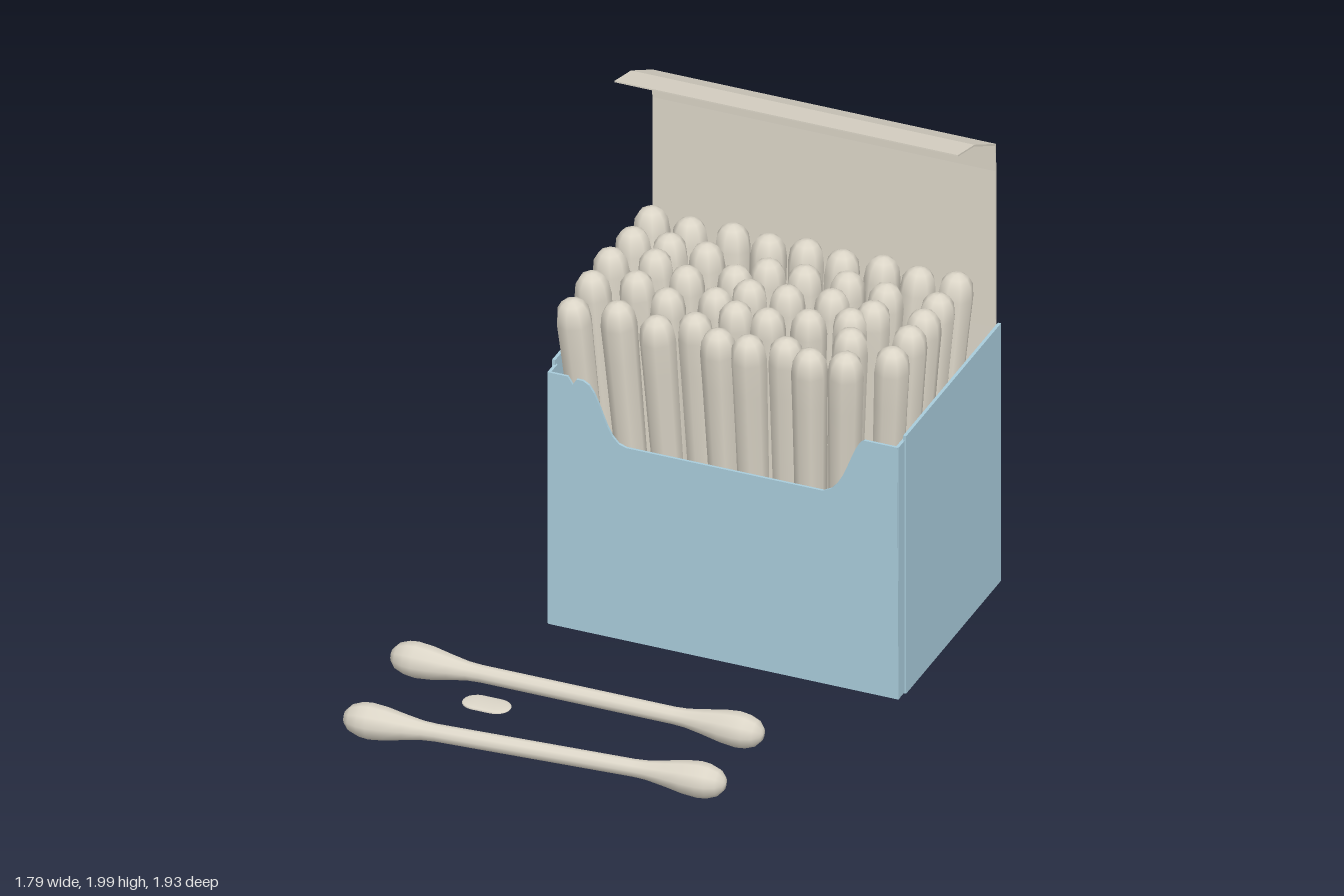
import * as THREE from 'three';

const cream = new THREE.MeshStandardMaterial({ color: 0xdcd6c8 });
cream.name = 'cream';
const blue = new THREE.MeshStandardMaterial({ color: 0xa8cbda });
blue.name = 'paleBlue';

function add(parent, name, geometry, material) {
  const mesh = new THREE.Mesh(geometry, material);
  mesh.name = name;
  parent.add(mesh);
  return mesh;
}

// box given by its two opposite corners
function slab(x0, x1, y0, y1, z0, z1) {
  return new THREE.BoxGeometry(x1 - x0, y1 - y0, z1 - z0)
    .translate((x0 + x1) / 2, (y0 + y1) / 2, (z0 + z1) / 2);
}

// places a lathe running along +y so that it runs from a to b
function span(mesh, a, b) {
  mesh.position.copy(a);
  mesh.quaternion.setFromUnitVectors(new THREE.Vector3(0, 1, 0), b.clone().sub(a).normalize());
}

function lathe(pairs, sides) {
  return new THREE.LatheGeometry(pairs.map(([r, y]) => new THREE.Vector2(r, y)), sides);
}

// turns a shape drawn in (z, y) into a strip running along x
function alongX(shape, x0, x1) {
  return new THREE.ExtrudeGeometry(shape, { depth: x1 - x0, bevelEnabled: false })
    .rotateY(-Math.PI / 2).translate(x1, 0, 0);
}

function polygon(pairs) {
  return new THREE.Shape(pairs.map(([x, y]) => new THREE.Vector2(x, y)));
}

function buildCarton() {
  const carton = new THREE.Group();
  carton.name = 'carton';

  // front panel with a scooped top edge
  const front = new THREE.Shape();
  front.moveTo(-0.485, 0.05);
  front.lineTo(0.885, 0.05);
  front.lineTo(0.88, 1.095);
  front.lineTo(0.75, 1.095);
  front.bezierCurveTo(0.7, 1.08, 0.68, 0.87, 0.59, 0.85);
  front.lineTo(-0.18, 0.85);
  front.bezierCurveTo(-0.27, 0.85, -0.28, 1.08, -0.35, 1.09);
  front.lineTo(-0.375, 1.09);
  front.lineTo(-0.39, 1.065);
  front.lineTo(-0.41, 1.095);
  front.lineTo(-0.485, 1.095);
  add(carton, 'frontPanel',
    new THREE.ExtrudeGeometry(front, { depth: 0.01, bevelEnabled: false, curveSegments: 8 })
      .translate(0, 0, -0.042), blue);

  // side walls, each with a folded front corner
  const side = polygon([[-0.09, 0.045], [-0.09, 1.115], [-0.95, 1.125], [-0.95, 0.055]]);
  for (const [name, x, s] of [['rightWall', -0.495, 1], ['leftWall', 0.89, -1]]) {
    const outer = alongX(side, Math.min(x, x + s * 0.012), Math.max(x, x + s * 0.012));
    add(carton, name, outer, blue);
    const a = x + s * 0.006, b = x + s * 0.018;
    add(carton, name + 'Fold',
      slab(Math.min(a, b), Math.max(a, b), 0.05, 1.095, -0.1, -0.035), blue);
  }

  // bottom
  add(carton, 'bottom', slab(-0.485, 0.88, 0.05, 0.062, -0.95, -0.042), cream);

  // back panel folding over into the open lid
  const lid = polygon([
    [-0.95, 0.055], [-0.958, 0.4], [-0.962, 1.1], [-0.96, 1.75], [-0.955, 1.863],
    [-0.76, 1.963], [-0.61, 2.0], [-0.61, 1.994], [-0.76, 1.956], [-0.948, 1.858],
    [-0.953, 1.75], [-0.954, 1.1], [-0.95, 0.4], [-0.943, 0.055],
  ]);
  add(carton, 'backPanelAndLid', alongX(lid, -0.475, 0.868), cream);
  return carton;
}

// tips of the packed sticks as [x, z]
const tips = [
  [-0.41, -0.07], [-0.25, -0.11], [-0.08, -0.07], [0.04, -0.14], [0.16, -0.07],
  [0.28, -0.07], [0.41, -0.11], [0.52, -0.07], [0.65, -0.1], [0.79, -0.2],
  [-0.42, -0.27], [-0.27, -0.33], [-0.12, -0.26], [0.04, -0.33], [0.145, -0.27],
  [0.27, -0.27], [0.41, -0.32], [0.6, -0.26], [0.79, -0.36],
  [-0.425, -0.45], [-0.27, -0.5], [-0.12, -0.435], [0.04, -0.51], [0.13, -0.43],
  [0.27, -0.45], [0.43, -0.49], [0.6, -0.47], [0.79, -0.49],
  [-0.41, -0.62], [-0.27, -0.63], [-0.12, -0.62], [0.13, -0.6], [0.27, -0.61],
  [0.43, -0.63], [0.59, -0.61], [0.79, -0.62],
  [-0.41, -0.79], [-0.25, -0.77], [-0.09, -0.79], [0.06, -0.77], [0.2, -0.79],
  [0.35, -0.77], [0.5, -0.79], [0.65, -0.77], [0.79, -0.79],
];

function buildPackedSticks() {
  const sticks = new THREE.Group();
  sticks.name = 'packedSticks';
  const geometry = lathe([
    [0, 0], [0.05, 0.02], [0.055, 0.5], [0.064, 1.1], [0.067, 1.24],
    [0.06, 1.29], [0.042, 1.318], [0.02, 1.33], [0, 1.333],
  ], 8);
  tips.forEach(([x, z], i) => {
    // feet gather slightly towards the middle of the carton
    const tip = new THREE.Vector3(x, 1.4, z);
    const foot = new THREE.Vector3(x + (0.2 - x) * 0.14, 0.07, z + (-0.47 - z) * 0.32);
    const stick = add(sticks, 'stick', geometry, cream);
    span(stick, foot, tip);
    stick.rotateY(i * 1.3);
  });
  // one shorter stick leaning between its neighbours
  span(add(sticks, 'leaningStick', geometry, cream),
    new THREE.Vector3(0.42, 0.07, -0.5), new THREE.Vector3(0.54, 1.35, -0.4));
  return sticks;
}

function buildLooseSwabs() {
  const swabs = new THREE.Group();
  swabs.name = 'looseSwabs';
  // one end of the swab, mirrored for the other
  const end = [
    [0, 0], [0.025, 0.005], [0.05, 0.028], [0.064, 0.065], [0.068, 0.1],
    [0.062, 0.16], [0.048, 0.23], [0.036, 0.3], [0.033, 0.35],
  ];
  const length = 1.455;
  const profile = [...end, ...end.map(([r, y]) => [r, length - y]).reverse()];
  const geometry = lathe(profile, 10);
  span(add(swabs, 'innerSwab', geometry, cream),
    new THREE.Vector3(-0.9, 0.073, 0.427), new THREE.Vector3(0.555, 0.073, 0.427));
  span(add(swabs, 'outerSwab', geometry, cream),
    new THREE.Vector3(-0.88, 0.075, 0.905), new THREE.Vector3(0.56, 0.075, 0.808));

  // small flat pellet lying between the swabs
  const pellet = new THREE.CapsuleGeometry(0.055, 0.075, 5, 12)
    .rotateZ(Math.PI / 2).scale(1, 0.13, 1);
  add(swabs, 'pellet', pellet, cream).position.set(-0.477, 0.025, 0.545);
  return swabs;
}

export function createModel() {
  const model = new THREE.Group();
  model.name = 'swabCarton';
  model.add(buildCarton(), buildPackedSticks(), buildLooseSwabs());
  return model;
}
